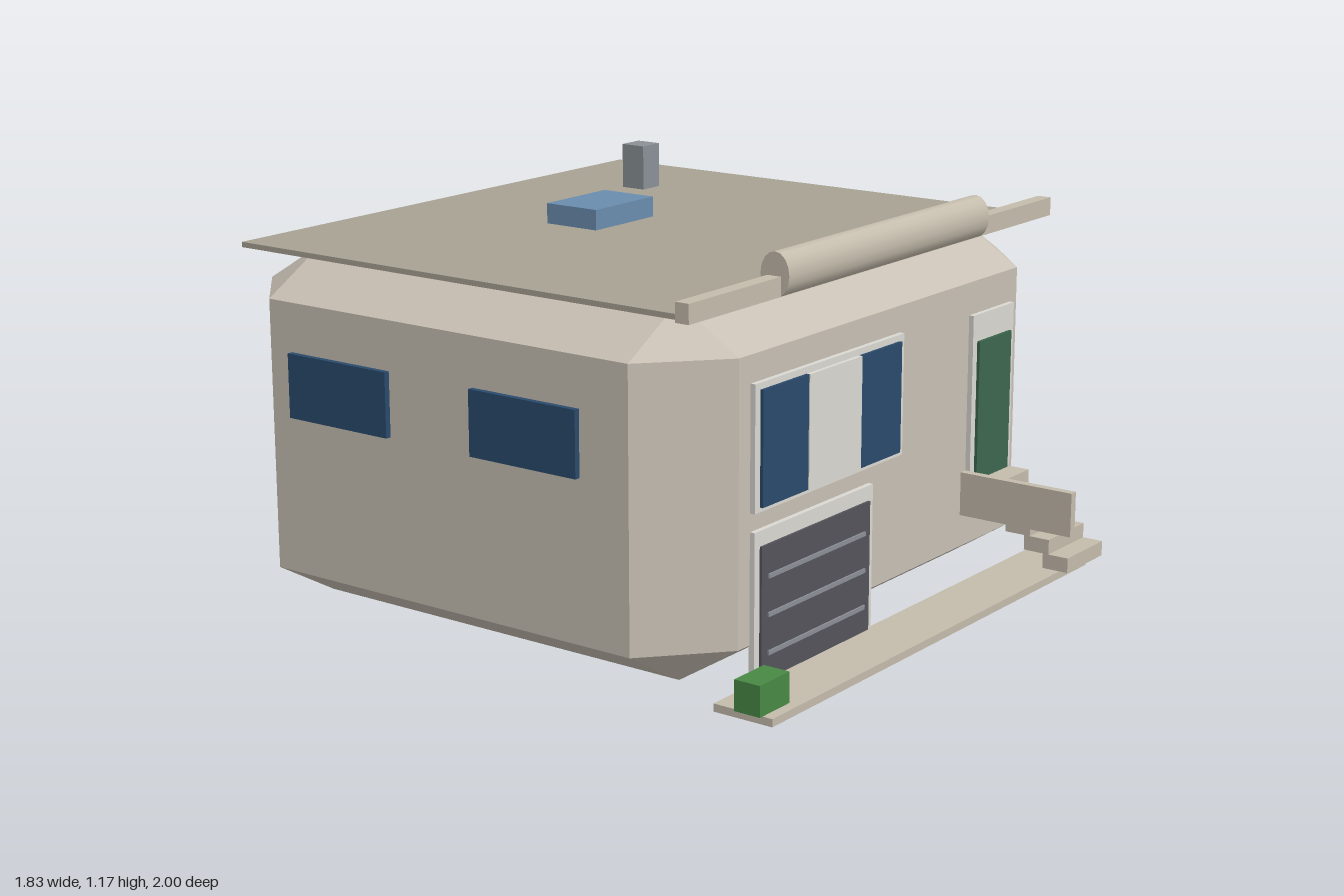
import * as THREE from 'three';
import { ConvexGeometry } from 'three/addons/geometries/ConvexGeometry.js';

const material = (color) => new THREE.MeshStandardMaterial({ color });
const MAT = {
  wall: material(0xc8c0b4),
  roof: material(0xa8a294),
  trim: material(0xdad8d2),
  stone: material(0xc4bcac),
  glass: material(0x2a4a6c),
  skylight: material(0x6a8cae),
  chimney: material(0x8a9196),
  garage: material(0x55545c),
  rib: material(0x8c8e98),
  door: material(0x3c664e),
  bush: material(0x488844),
};

export function createModel() {
  const model = new THREE.Group();
  model.name = 'house';

  const add = (name, geometry, mat) => {
    const mesh = new THREE.Mesh(geometry, mat);
    mesh.name = name;
    model.add(mesh);
    return mesh;
  };

  // Box given by its extents along each axis
  const block = (name, mat, [x0, x1], [y0, y1], [z0, z1]) => {
    const mesh = add(name, new THREE.BoxGeometry(x1 - x0, y1 - y0, z1 - z0), mat);
    mesh.position.set((x0 + x1) / 2, (y0 + y1) / 2, (z0 + z1) / 2);
    return mesh;
  };

  // Chamfered body: octagonal walls tapering to rectangles above and below
  const points = [];
  for (const x of [-1, 1]) {
    for (const [zIn, zOut] of [[0.45, 0.64], [-0.8, -1]]) {
      points.push(new THREE.Vector3(x * 0.69, 0.003, zIn), new THREE.Vector3(x * 0.69, 1.02, zIn));
      for (const y of [0.125, 0.9]) {
        points.push(new THREE.Vector3(x * 0.9, y, zIn), new THREE.Vector3(x * 0.69, y, zOut));
      }
    }
  }
  add('body', new ConvexGeometry(points), MAT.wall);

  // Roof slab and fittings
  block('roof', MAT.roof, [-0.85, 0.85], [1.018, 1.033], [-0.95, 0.6]);
  block('skylight', MAT.skylight, [-0.135, 0.13], [1.033, 1.092], [-0.44, -0.26]);
  block('chimney', MAT.chimney, [0.46, 0.54], [1.033, 1.167], [-0.63, -0.55]);

  // Awning roll on its bar
  block('awningBar', MAT.stone, [-0.89, 0.89], [1.022, 1.075], [0.59, 0.632]);
  const roll = new THREE.CylinderGeometry(1, 1, 0.99, 16);
  roll.rotateZ(Math.PI / 2).scale(1, 0.061, 0.045);
  add('awningRoll', roll, MAT.stone).position.set(-0.003, 1.078, 0.613);

  // Side windows, mirrored
  for (const side of [-1, 1]) {
    for (const z of [[-0.065, 0.292], [-0.72, -0.36]]) {
      const x = side > 0 ? [0.89, 0.917] : [-0.917, -0.89];
      block('sideWindow', MAT.glass, x, [0.577, 0.76], z);
    }
  }

  // Front window
  block('windowFrame', MAT.trim, [-0.64, 0.06], [0.482, 0.825], [0.63, 0.655]);
  block('windowPaneRight', MAT.glass, [-0.617, -0.412], [0.495, 0.807], [0.64, 0.664]);
  block('windowPanel', MAT.trim, [-0.412, -0.165], [0.495, 0.807], [0.64, 0.667]);
  block('windowPaneLeft', MAT.glass, [-0.165, 0.036], [0.495, 0.807], [0.64, 0.664]);

  // Garage
  block('garageFrame', MAT.trim, [-0.64, -0.085], [0.02, 0.432], [0.638, 0.655]);
  block('garageDoor', MAT.garage, [-0.617, -0.108], [0.02, 0.39], [0.645, 0.662]);
  for (const y of [0.095, 0.2, 0.305]) {
    block('garageRib', MAT.rib, [-0.59, -0.135], [y - 0.006, y + 0.006], [0.65, 0.667]);
  }

  // Entrance
  block('doorFrame', MAT.trim, [0.427, 0.652], [0.317, 0.805], [0.63, 0.655]);
  block('door', MAT.door, [0.45, 0.627], [0.315, 0.727], [0.64, 0.664]);
  for (let i = 0; i < 5; i++) {
    const y = 0.102 + i * 0.043;
    const z = 0.977 - i * 0.062;
    block('step', MAT.stone, [0.435, 0.638], [y, y + 0.043], [z - 0.08, z]);
  }
  block('stairRail', MAT.stone, [0.402, 0.427], [0.22, 0.348], [0.64, 1]);

  // Path and bush
  block('path', MAT.stone, [-0.813, 0.81], [0, 0.022], [0.652, 0.835]);
  block('bush', MAT.bush, [-0.825, -0.695], [0.022, 0.107], [0.725, 0.805]);

  return model;
}
